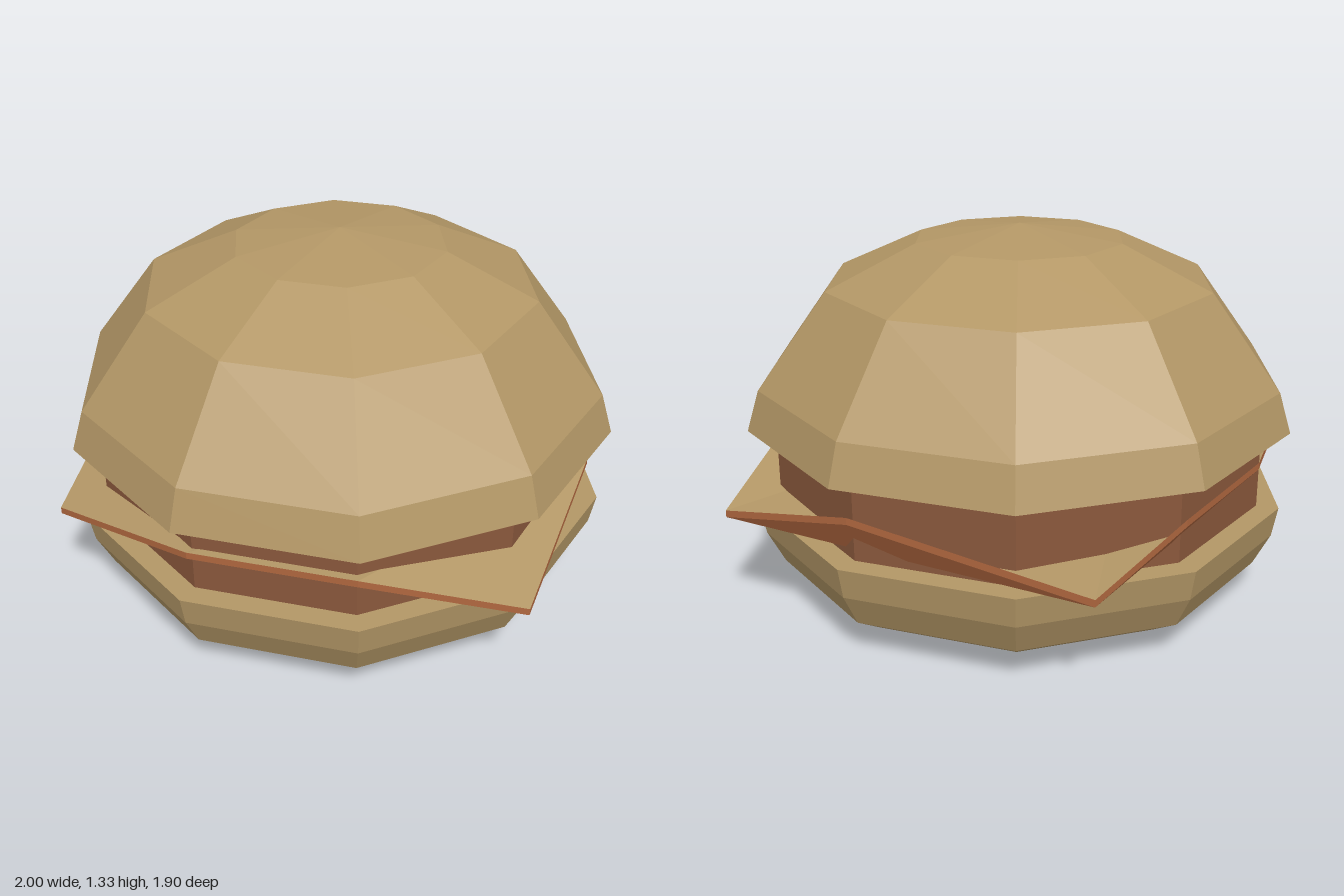
import * as THREE from 'three';

const SIDES = 10;

const material = (name, color) => {
  const m = new THREE.MeshStandardMaterial({ color });
  m.name = name;
  return m;
};

// Splits shared corners so every facet is flat
function faceted(geometry) {
  const g = geometry.index ? geometry.toNonIndexed() : geometry;
  g.computeVertexNormals();
  return g;
}

// Ten-sided solid of revolution with a corner on the x axis
function turned(name, profile, mat) {
  const points = profile.map(([r, y]) => new THREE.Vector2(r, y));
  const mesh = new THREE.Mesh(faceted(new THREE.LatheGeometry(points, SIDES, Math.PI / 2)), mat);
  mesh.name = name;
  return mesh;
}

function facets(name, triangles, mat) {
  const g = new THREE.BufferGeometry().setFromPoints(triangles.flat());
  g.computeVertexNormals();
  const mesh = new THREE.Mesh(g, mat);
  mesh.name = name;
  return mesh;
}

// Thin slice: a ring of ten corners, four of them pulled out and drooping
function cheeseSlice(topMat, edgeMat) {
  const flatY = 0.525, droopY = 0.413, thickness = 0.025;
  const droops = { 1: [0.82, 0.75], 4: [-0.87, 0.62], 7: [-0.56, -0.95], 9: [0.82, -0.75] };
  const top = [], bottom = [];
  for (let i = 0; i < SIDES; i++) {
    const a = (i / SIDES) * Math.PI * 2;
    const r = i === 5 ? 0.9 : 0.93;
    const [x, z] = droops[i] ?? [r * Math.cos(a), r * Math.sin(a)];
    const y = droops[i] ? droopY : flatY;
    top.push(new THREE.Vector3(x, y, z));
    bottom.push(new THREE.Vector3(x, y - thickness, z));
  }
  // Folds of the sheet
  const folds = [[3, 4, 5], [0, 1, 2], [7, 8, 9], [5, 6, 7], [3, 5, 7], [3, 7, 9], [3, 9, 0], [3, 0, 2]];
  const upper = folds.map(([a, b, c]) => [top[a], top[c], top[b]]);
  const lower = folds.map(([a, b, c]) => [bottom[a], bottom[b], bottom[c]]);
  // Rim
  for (let i = 0; i < SIDES; i++) {
    const j = (i + 1) % SIDES;
    lower.push([bottom[i], top[i], top[j]], [bottom[i], top[j], bottom[j]]);
  }
  const slice = new THREE.Group();
  slice.name = 'cheeseSlice';
  slice.add(facets('cheeseTop', upper, topMat), facets('cheeseRimAndUnderside', lower, edgeMat));
  return slice;
}

export function createModel() {
  const bun = material('bun tan', 0xb39766);
  const meat = material('patty brown', 0x8a583c);
  const rim = material('cheese rust', 0xb0673f);

  const model = new THREE.Group();
  model.name = 'burger';
  model.add(
    turned('bottomBun', [[0, 0], [0.48, 0], [0.79, 0.06], [0.9, 0.13], [0.96, 0.25], [0.98, 0.36], [0, 0.36]], bun),
    turned('patty', [[0, 0.36], [0.9, 0.36], [0.9, 0.65], [0, 0.65]], meat),
    cheeseSlice(bun, rim),
    turned('topBun', [[0, 0.65], [1, 0.65], [0.955, 0.795], [0.705, 1.13], [0.38, 1.28], [0, 1.33]], bun),
  );
  return model;
}
